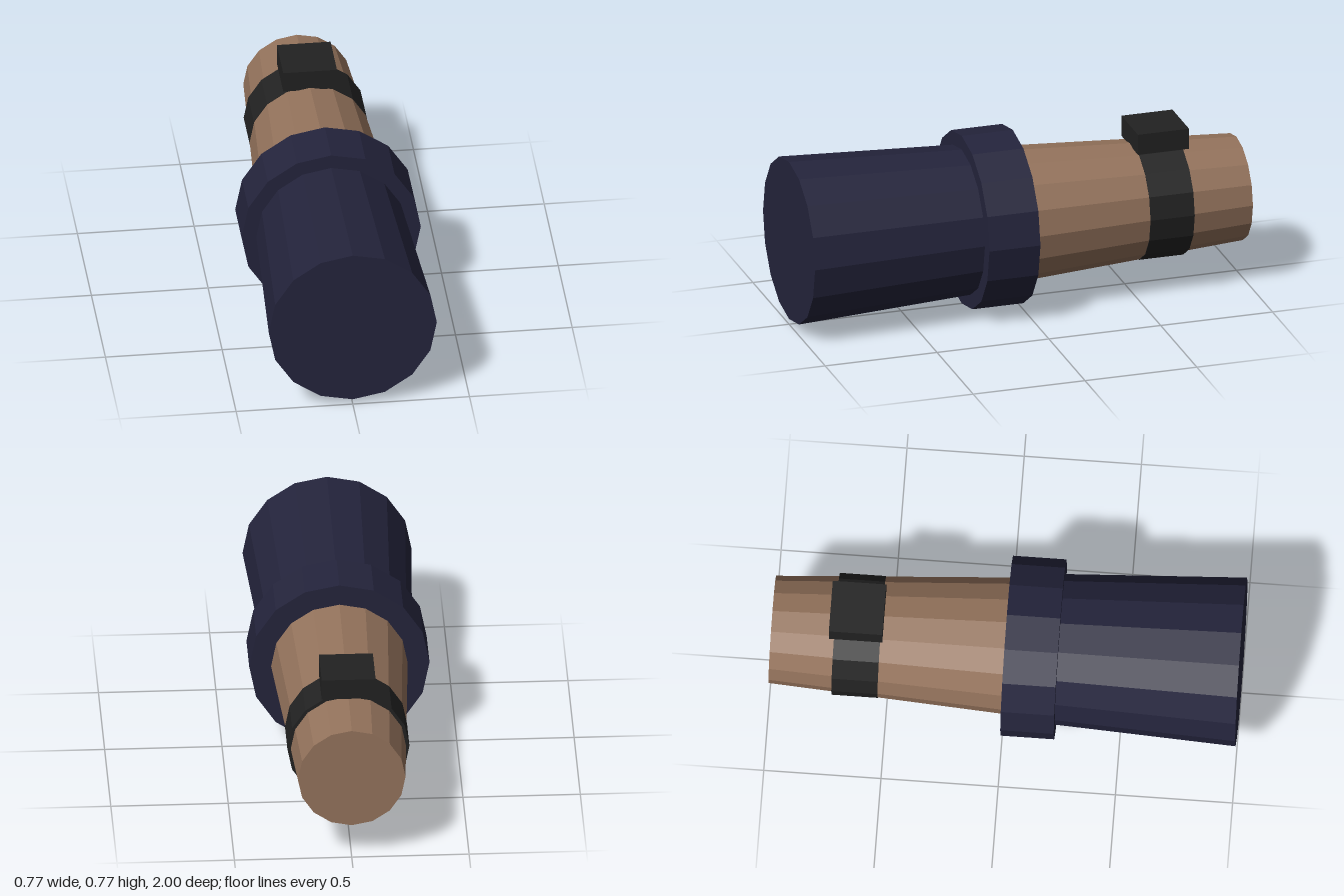
import * as THREE from 'three';

const SIDES = 16;
const AXIS_Y = 0.385;

function material(name, color) {
  const m = new THREE.MeshStandardMaterial({ color, flatShading: true });
  m.name = name;
  return m;
}

export function createModel() {
  const navy = material('navy cloth', 0x24243c);
  const skin = material('skin', 0x94735c);
  const black = material('black strap', 0x222222);

  const group = new THREE.Group();
  group.name = 'forearm';

  // Faceted, capped cylinder along z, from zBack to zFront
  function tube(name, mat, zBack, zFront, rBack, rFront) {
    const geo = new THREE.CylinderGeometry(rFront, rBack, zFront - zBack, SIDES);
    geo.rotateX(Math.PI / 2);
    const mesh = new THREE.Mesh(geo, mat);
    mesh.name = name;
    mesh.position.set(0, AXIS_Y, (zBack + zFront) / 2);
    group.add(mesh);
  }

  tube('sleeve', navy, 0.1, 1, 0.315, 0.36);
  tube('cuff', navy, 0, 0.228, 0.384, 0.384);
  tube('arm', skin, -1, 0.05, 0.229, 0.294);
  tube('watchStrap', black, -0.73, -0.533, 0.26, 0.26);

  // Watch case on top of the strap
  const watch = new THREE.Mesh(new THREE.BoxGeometry(0.23, 0.092, 0.228), black);
  watch.name = 'watchCase';
  watch.position.set(0, 0.679, -0.637);
  group.add(watch);

  return group;
}
